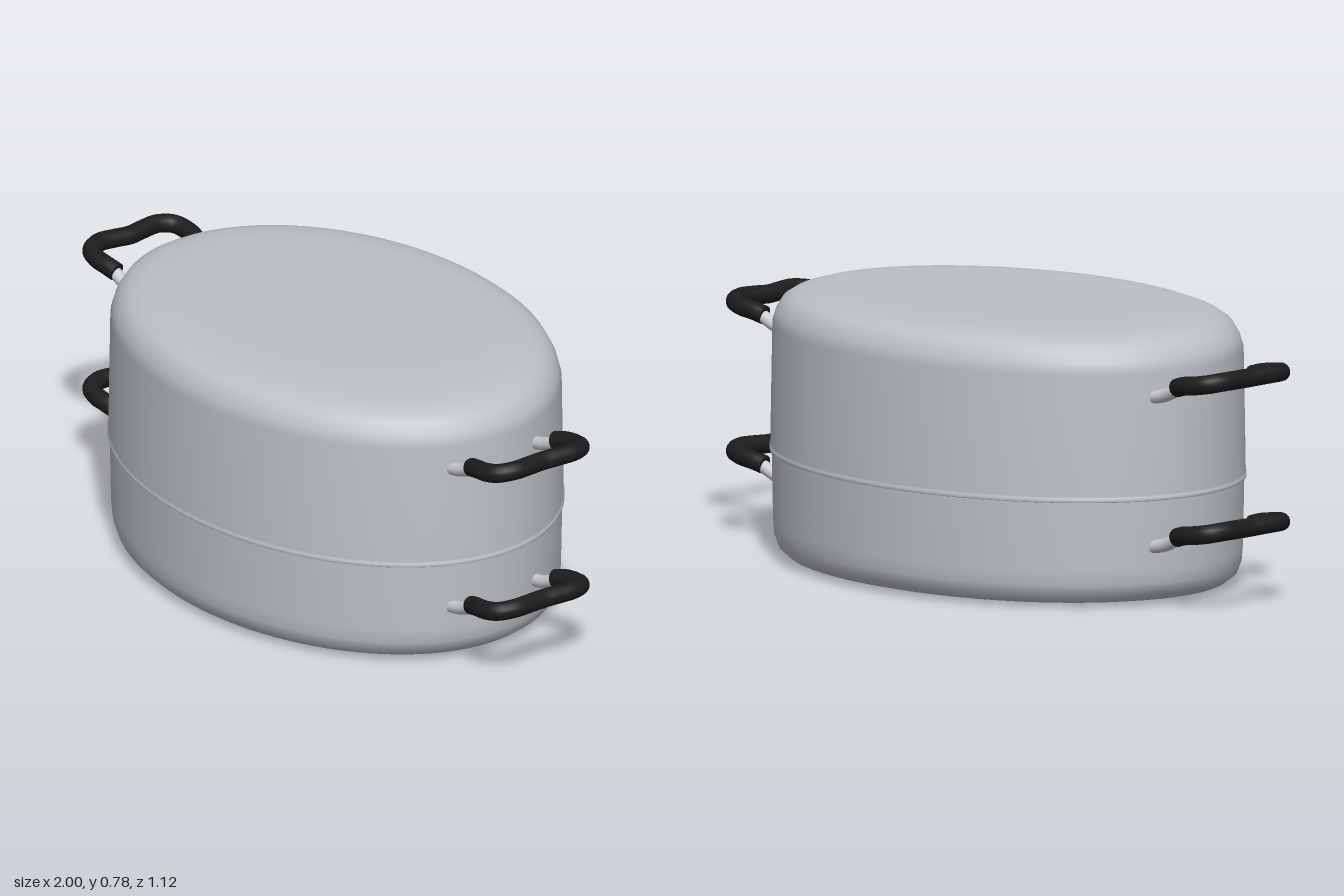
import * as THREE from 'three';

const RX = 0.78, RZ = 0.56;

// Oval shell: a lathe of unit radius stretched to the ellipse
function ovalShell(name, profile, material) {
  const points = profile.map(([r, y]) => new THREE.Vector2(r, y));
  const geometry = new THREE.LatheGeometry(points, 96);
  geometry.scale(RX, 1, RZ);
  const mesh = new THREE.Mesh(geometry, material);
  mesh.name = name;
  return mesh;
}

// Loop handle on the +x side: two metal stubs and a bent grip
function loopHandle(name, y, metal, black) {
  const handle = new THREE.Group();
  handle.name = name;
  const v = (x, h, z) => new THREE.Vector3(x, h, z);

  const half = [
    [0.83, -0.027, 0.149], [0.865, -0.017, 0.157], [0.91, -0.010, 0.16],
    [0.95, -0.003, 0.147], [0.971, 0.002, 0.105], [0.968, 0.001, 0.05],
  ];
  const path = [
    ...half.map(([x, h, z]) => v(x, h, z)),
    v(0.962, -0.001, 0),
    ...half.slice().reverse().map(([x, h, z]) => v(x, h, -z)),
  ];
  const curve = new THREE.CatmullRomCurve3(path);
  const grip = new THREE.Mesh(new THREE.TubeGeometry(curve, 64, 0.027, 16), black);
  grip.name = 'grip';
  handle.add(grip);

  for (const side of [1, -1]) {
    // Metal stub running into the wall
    const stubPath = new THREE.CatmullRomCurve3([
      v(0.725, -0.068, 0.147 * side), v(0.78, -0.055, 0.147 * side), v(0.85, -0.024, 0.151 * side),
    ]);
    const stub = new THREE.Mesh(new THREE.TubeGeometry(stubPath, 12, 0.019, 16), metal);
    stub.name = 'stub';
    // Flat end of the grip
    const t = side > 0 ? 0 : 1;
    const end = curve.getPointAt(t);
    const outward = curve.getTangentAt(t).multiplyScalar(side > 0 ? -1 : 1);
    const cap = new THREE.Mesh(new THREE.CircleGeometry(0.027, 16), black);
    cap.name = 'gripEnd';
    cap.position.copy(end);
    cap.quaternion.setFromUnitVectors(v(0, 0, 1), outward);
    handle.add(stub, cap);
  }
  handle.position.y = y;
  return handle;
}

export function createModel() {
  const steel = new THREE.MeshStandardMaterial({ color: 0xbdc1c6 });
  steel.name = 'brushed steel';
  const stubMetal = new THREE.MeshStandardMaterial({ color: 0xcccdcf });
  stubMetal.name = 'light metal';
  const black = new THREE.MeshStandardMaterial({ color: 0x1c1c1c });
  black.name = 'black grip';

  const group = new THREE.Group();
  group.name = 'ovalRoaster';

  // Lower pan, closed where the lid rests
  group.add(ovalShell('pan', [
    [0, 0.003], [0.74, 0.003], [0.86, 0.008], [0.925, 0.017], [0.962, 0.038],
    [0.979, 0.07], [0.984, 0.11], [0.99, 0.31], [0.99, 0.314], [0, 0.314],
  ], steel));

  // Tall domed lid with a slightly wider rim
  group.add(ovalShell('lid', [
    [0, 0.312], [0.985, 0.312], [0.996, 0.312], [1, 0.314], [1, 0.322], [0.996, 0.324],
    [0.996, 0.33], [0.987, 0.68], [0.973, 0.713], [0.945, 0.745], [0.905, 0.763],
    [0.85, 0.775], [0.77, 0.782], [0.68, 0.785], [0.5, 0.786], [0, 0.786],
  ], steel));

  // Two handles on each end
  for (const [part, y] of [['pan', 0.243], ['lid', 0.675]]) {
    const left = loopHandle(part + 'HandleLeft', y, stubMetal, black);
    const right = loopHandle(part + 'HandleRight', y, stubMetal, black);
    right.rotation.y = Math.PI;
    group.add(left, right);
  }
  return group;
}
